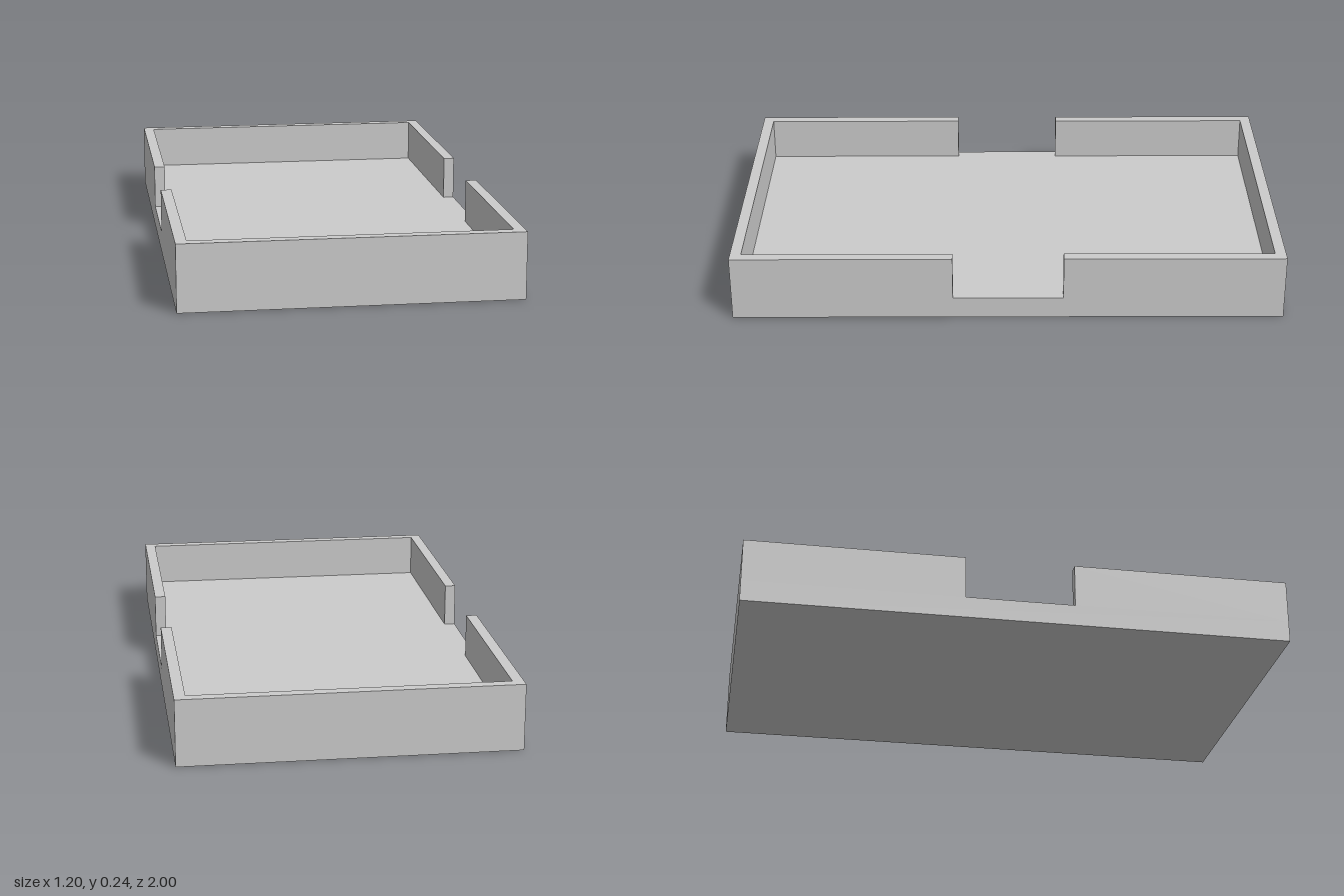
import * as THREE from 'three';

const HALF_W = 0.6, HALF_L = 1, FLOOR = 0.08, HEIGHT = 0.24, WALL = 0.04, HALF_GAP = 0.2;

// U-shaped plan of one end: an end wall with two side walls stopping at the gap
function endWallGeometry() {
  const xi = HALF_W - WALL, yi = HALF_L - WALL;
  const plan = new THREE.Shape([
    [-HALF_W, HALF_GAP], [-xi, HALF_GAP], [-xi, yi], [xi, yi],
    [xi, HALF_GAP], [HALF_W, HALF_GAP], [HALF_W, HALF_L], [-HALF_W, HALF_L],
  ].map(([x, y]) => new THREE.Vector2(x, y)));
  const geometry = new THREE.ExtrudeGeometry(plan, { depth: HEIGHT - FLOOR, bevelEnabled: false });
  return geometry.rotateX(-Math.PI / 2).translate(0, FLOOR, 0);
}

export function createModel() {
  const group = new THREE.Group();
  group.name = 'tray';
  const material = new THREE.MeshStandardMaterial({ color: 0xcccccc });

  // Solid floor slab, level with the bottom of the side gaps
  const floor = new THREE.Mesh(new THREE.BoxGeometry(HALF_W * 2, FLOOR, HALF_L * 2), material);
  floor.name = 'floor';
  floor.position.y = FLOOR / 2;
  group.add(floor);

  // Matching walls around the back and front ends
  const walls = endWallGeometry();
  ['backWalls', 'frontWalls'].forEach((name, i) => {
    const mesh = new THREE.Mesh(walls, material);
    mesh.name = name;
    mesh.rotation.y = i * Math.PI;
    group.add(mesh);
  });

  return group;
}
